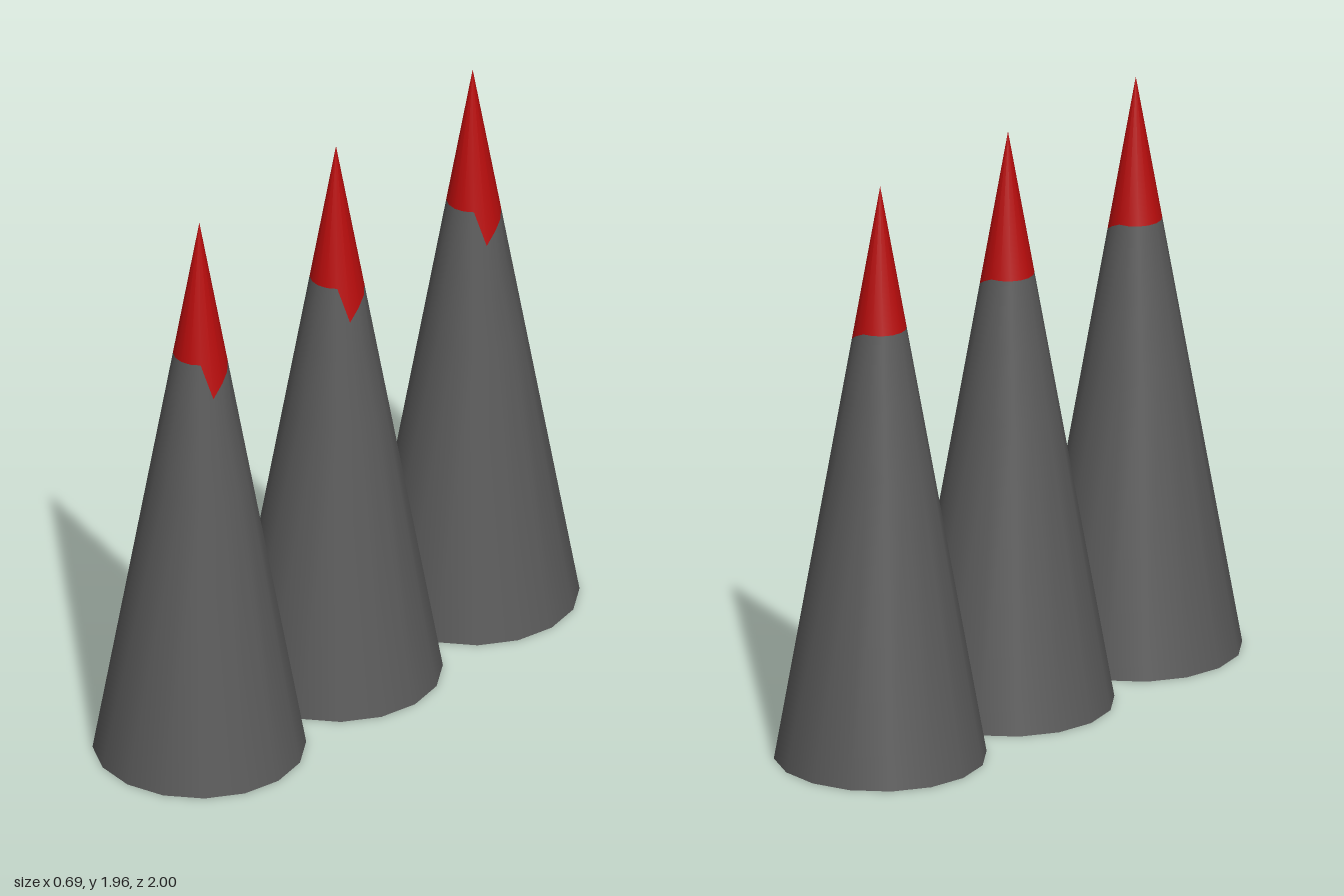
import * as THREE from 'three';

const SIDES = 16, RADIUS = 0.345, HEIGHT = 1.955, SPACING = 0.655;

// Lower edge of the red tip: level all round, dripping down on the left side
const DRIP = { 0: 1.39, 1: 1.35, 13: 1.455, 14: 1.435, 15: 1.415 };
const tipEdge = (k) => DRIP[k] ?? 1.47;

// Slight unevenness of the body below the drip
const dent = (k) => (k <= 1 || k === 15 ? -0.008 : 0);
const bulge = (k) => (k === 0 ? 0.006 : 0);

// Skin over stacked rings; each ring gives a height and a radius offset per side
function coneSkin(rings) {
  const positions = [], normals = [], index = [];
  const row = SIDES + 1;
  rings.forEach(({ y, offset = () => 0 }, r) => {
    for (let i = 0; i <= SIDES; i++) {
      const k = i % SIDES, a = (k / SIDES) * Math.PI * 2;
      const h = y(k), radius = RADIUS * (1 - h / HEIGHT) + offset(k);
      positions.push(radius * Math.cos(a), h, radius * Math.sin(a));
      const n = new THREE.Vector3(HEIGHT * Math.cos(a), RADIUS, HEIGHT * Math.sin(a)).normalize();
      normals.push(n.x, n.y, n.z);
      if (r > 0 && i < SIDES) {
        const c = r * row + i, l = c - row;
        index.push(l, c, l + 1, l + 1, c, c + 1);
      }
    }
  });
  const geometry = new THREE.BufferGeometry();
  geometry.setAttribute('position', new THREE.Float32BufferAttribute(positions, 3));
  geometry.setAttribute('normal', new THREE.Float32BufferAttribute(normals, 3));
  geometry.setIndex(index);
  return geometry;
}

export function createModel() {
  const model = new THREE.Group();
  model.name = 'spikes';
  const dark = new THREE.MeshStandardMaterial({ color: 0x5a5a5a });
  const red = new THREE.MeshStandardMaterial({ color: 0xb80c0c });

  const bodyGeometry = coneSkin([
    { y: () => 0 },
    { y: () => 1.0, offset: bulge },
    { y: () => 1.24, offset: dent },
    { y: tipEdge },
  ]);
  const tipGeometry = coneSkin([{ y: tipEdge }, { y: () => HEIGHT }]);
  const baseGeometry = new THREE.CircleGeometry(RADIUS, SIDES).rotateX(Math.PI / 2);

  // Three identical spikes in a row from back to front
  for (const z of [-SPACING, 0, SPACING]) {
    const spike = new THREE.Group();
    spike.name = 'spike';
    spike.position.z = z;
    const parts = [['body', bodyGeometry, dark], ['tip', tipGeometry, red], ['base', baseGeometry, dark]];
    for (const [name, geometry, material] of parts) {
      const mesh = new THREE.Mesh(geometry, material);
      mesh.name = name;
      spike.add(mesh);
    }
    model.add(spike);
  }
  return model;
}
